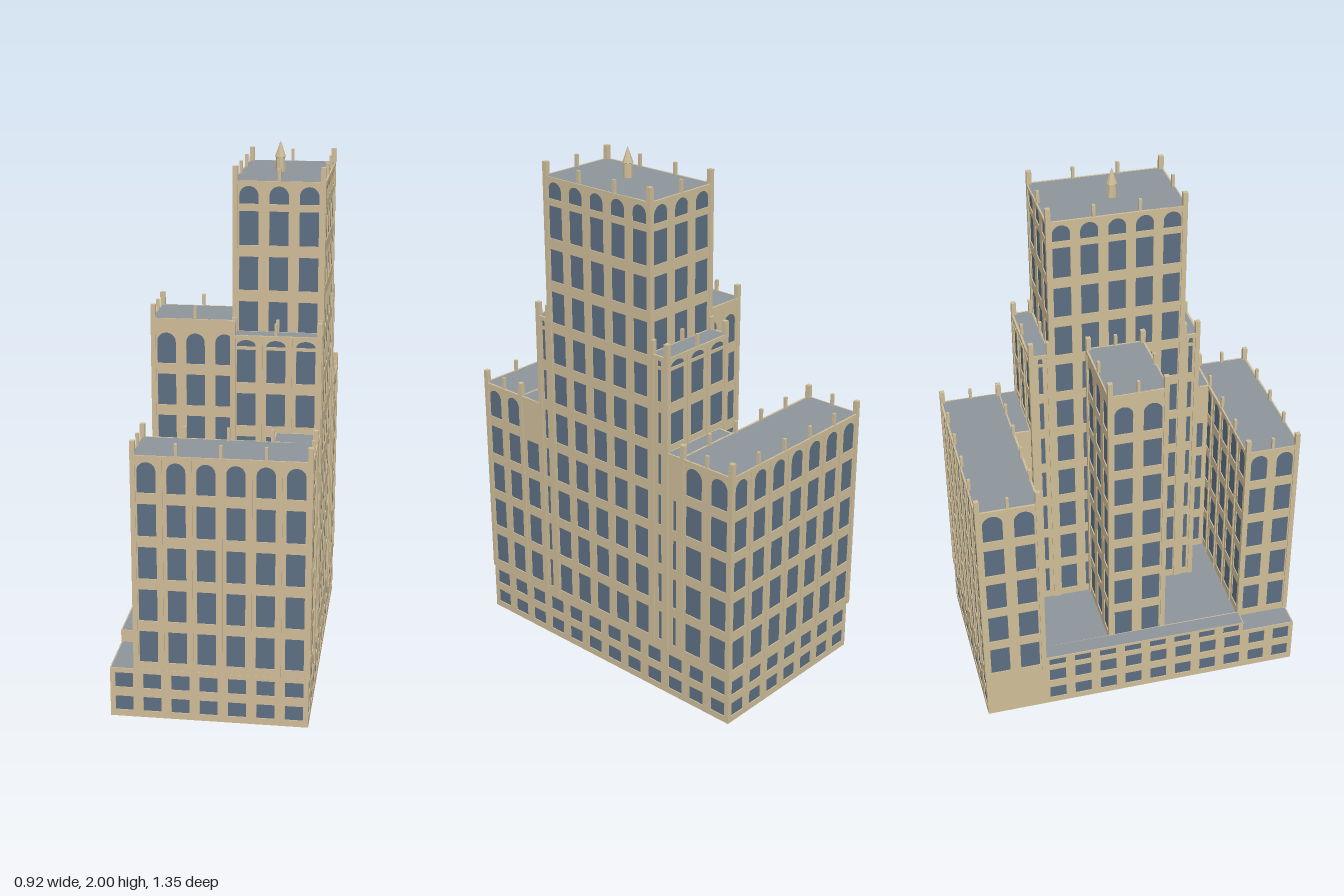
import * as THREE from 'three';

const stone = new THREE.MeshStandardMaterial({ color: 0xcfbd98, side: THREE.DoubleSide });
const glass = new THREE.MeshStandardMaterial({ color: 0x5d6f82 });
const roofing = new THREE.MeshStandardMaterial({ color: 0x8d959b, side: THREE.DoubleSide });

const BASE = 0.19, BAY = 0.104, PITCH = 0.1605, REVEAL = 0.004;

function add(parent, name, geometry, material, x = 0, y = 0, z = 0) {
  const mesh = new THREE.Mesh(geometry, material);
  mesh.name = name;
  mesh.position.set(x, y, z);
  parent.add(mesh);
  return mesh;
}

function box(parent, name, w, h, d, x, y, z) {
  return add(parent, name, new THREE.BoxGeometry(w, h, d), stone, x, y + h / 2, z);
}

// Window opening, optionally with a rounded head
function opening(x, w, y0, y1, arched) {
  const p = new THREE.Path();
  const rise = arched ? Math.min(w / 2, (y1 - y0) * 0.9) : 0;
  p.moveTo(x - w / 2, y0);
  p.lineTo(x + w / 2, y0);
  p.lineTo(x + w / 2, y1 - rise);
  if (arched) p.absellipse(x, y1 - rise, w / 2, rise, 0, Math.PI, false);
  else p.lineTo(x - w / 2, y1);
  p.closePath();
  return p;
}

// Pierced wall with glazing behind it; outer face at z = 0, facing +z
function facade(name, width, y0, y1, rows) {
  const g = new THREE.Group();
  g.name = name;
  const shape = new THREE.Shape();
  shape.moveTo(-width / 2, y0);
  shape.lineTo(width / 2, y0);
  shape.lineTo(width / 2, y1);
  shape.lineTo(-width / 2, y1);
  shape.closePath();
  const bays = Math.max(1, Math.round(width / BAY));
  const bay = width / bays;
  const w = bay < 0.08 ? 0.016 : bay * 0.64;
  for (const [a, b, arched] of rows)
    for (let i = 0; i < bays; i++)
      shape.holes.push(opening((i + 0.5) * bay - width / 2, w, a, b, arched));
  const geo = new THREE.ExtrudeGeometry(shape, { depth: REVEAL, bevelEnabled: false, curveSegments: 10 });
  add(g, 'wall', geo, stone, 0, 0, -REVEAL);
  if (rows.length)
    add(g, 'glazing', new THREE.PlaneGeometry(width, y1 - y0), glass, 0, (y0 + y1) / 2, -REVEAL * 0.9);
  return g;
}

function roof(parent, x0, x1, z0, z1, y) {
  const m = add(parent, 'roof', new THREE.PlaneGeometry(x1 - x0, z1 - z0), roofing, (x0 + x1) / 2, y, (z0 + z1) / 2);
  m.rotation.x = -Math.PI / 2;
}

// The four sides of a footprint: name, length, centre and turn
function sides(x0, x1, z0, z1) {
  const cx = (x0 + x1) / 2, cz = (z0 + z1) / 2;
  return [
    ['south', x1 - x0, cx, z1, 0],
    ['east', z1 - z0, x1, cz, Math.PI / 2],
    ['north', x1 - x0, cx, z0, Math.PI],
    ['west', z1 - z0, x0, cz, -Math.PI / 2],
  ];
}

// Upper storeys: n full rows, then an optional top row [y0, y1]
function block({ name, x: [x0, x1], z: [z0, z1], h, n, top, pinnacles = true, ribs = false }) {
  const g = new THREE.Group();
  g.name = name;
  const rows = [];
  for (let i = 0; i < n; i++) rows.push([0.22 + i * PITCH, 0.34 + i * PITCH, false]);
  if (top) rows.push([...top, true]);
  for (const [side, len, cx, cz, turn] of sides(x0, x1, z0, z1)) {
    const f = facade(side + 'Facade', len, BASE, h, rows);
    f.position.set(cx, 0, cz);
    f.rotation.y = turn;
    g.add(f);
    box(f, 'cornice', len, 0.012, 0.006, 0, h - 0.012, 0.001);
    // Slim ribs between the bays of the long end walls
    const bays = Math.round(len / BAY);
    if (ribs && len > 0.3)
      for (let i = 1; i < bays; i++)
        box(f, 'rib', 0.009, h - BASE, 0.008, (i / bays - 0.5) * len, BASE, 0.001);
    if (!pinnacles) continue;
    // Corner pier carried up as a pinnacle, with smaller ones along the edge
    box(f, 'cornerPier', 0.018, h + 0.05 - BASE, 0.018, len / 2 - 0.005, BASE, -0.005);
    const parts = len < 0.1 ? 1 : Math.max(2, Math.round(len / 0.15));
    for (let i = 1; i < parts; i++)
      box(f, 'pinnacle', 0.011, 0.055, 0.011, (i / parts - 0.5) * len, h - 0.01, -0.004);
  }
  roof(g, x0, x1, z0, z1, h);
  return g;
}

// Two-storey base, open underneath
function base() {
  const g = new THREE.Group();
  g.name = 'base';
  const [x0, x1, z0, z1] = [-0.353, 0.362, -0.623, 0.623];
  const rows = [[0.025, 0.08, false], [0.115, 0.172, false]];
  for (const [side, len, cx, cz, turn] of sides(x0, x1, z0, z1)) {
    const wall = new THREE.Group();
    wall.name = side + 'BaseWall';
    wall.position.set(cx, 0, cz);
    wall.rotation.y = turn;
    g.add(wall);
    const plain = side === 'west' ? 0.23 : 0;
    const f = facade('windowWall', len - plain, 0, BASE, rows);
    f.position.x = plain / 2;
    wall.add(f);
    if (plain) wall.add(facade('plainWall', plain, 0, BASE, []).translateX((plain - len) / 2));
    add(wall, 'lining', new THREE.PlaneGeometry(len, BASE), stone, 0, BASE / 2, -0.006);
  }
  roof(g, x0, x1, z0, z1, BASE);
  return g;
}

// Low gallery along the open west side
function gallery() {
  const g = new THREE.Group();
  g.name = 'westGallery';
  const [x0, x1, z0, z1] = [-0.354, -0.288, -0.392, 0.411];
  for (const [side, len, cx, cz, turn] of sides(x0, x1, z0, z1)) {
    const f = facade(side + 'Wall', len, BASE, 0.237, side === 'west' ? [[0.197, 0.227, false]] : []);
    f.position.set(cx, 0, cz);
    f.rotation.y = turn;
    g.add(f);
  }
  roof(g, x0, x1, z0, z1, 0.237);
  return g;
}

export function createModel() {
  const model = new THREE.Group();
  model.name = 'skyscraper';
  const tower = new THREE.Group();
  tower.name = 'building';
  tower.rotation.y = THREE.MathUtils.degToRad(9);
  model.add(tower);

  tower.add(base(), gallery());

  const wingTop = [0.862, 0.975], midTop = [1.183, 1.3], stepTop = [1.315, 1.338];
  const blocks = [
    { name: 'southWing', x: [-0.262, 0.362], z: [0.42, 0.622], h: 1.0, n: 4, top: wingTop, ribs: true },
    { name: 'northWing', x: [-0.362, 0.362], z: [-0.623, -0.392], h: 1.0, n: 4, top: wingTop, ribs: true },
    { name: 'southLink', x: [0.208, 0.362], z: [0.317, 0.42], h: 1.0, n: 4, pinnacles: false },
    { name: 'northLink', x: [0.086, 0.362], z: [-0.392, -0.327], h: 1.0, n: 4, pinnacles: false },
    { name: 'westWing', x: [-0.278, 0.046], z: [-0.114, 0.103], h: 1.355, n: 6, top: midTop },
    { name: 'southStep', x: [0.046, 0.362], z: [0.255, 0.317], h: 1.355, n: 7, top: stepTop, ribs: true },
    { name: 'northStep', x: [0.046, 0.362], z: [-0.327, -0.25], h: 1.355, n: 7, top: stepTop, ribs: true },
    { name: 'mainTower', x: [0.046, 0.362], z: [-0.25, 0.255], h: 1.89, n: 10, top: [1.81, 1.872] },
  ];
  for (const b of blocks) tower.add(block(b));

  // Pointed finial on the tower roof
  const profile = [[0.018, 0], [0.016, 0.05], [0.02, 0.052], [0.0, 0.11]].map(([r, y]) => new THREE.Vector2(r, y));
  const finialStone = stone.clone();
  finialStone.flatShading = true;
  add(tower, 'finial', new THREE.LatheGeometry(profile, 8), finialStone, 0.184, 1.89, 0.019);

  return model;
}
